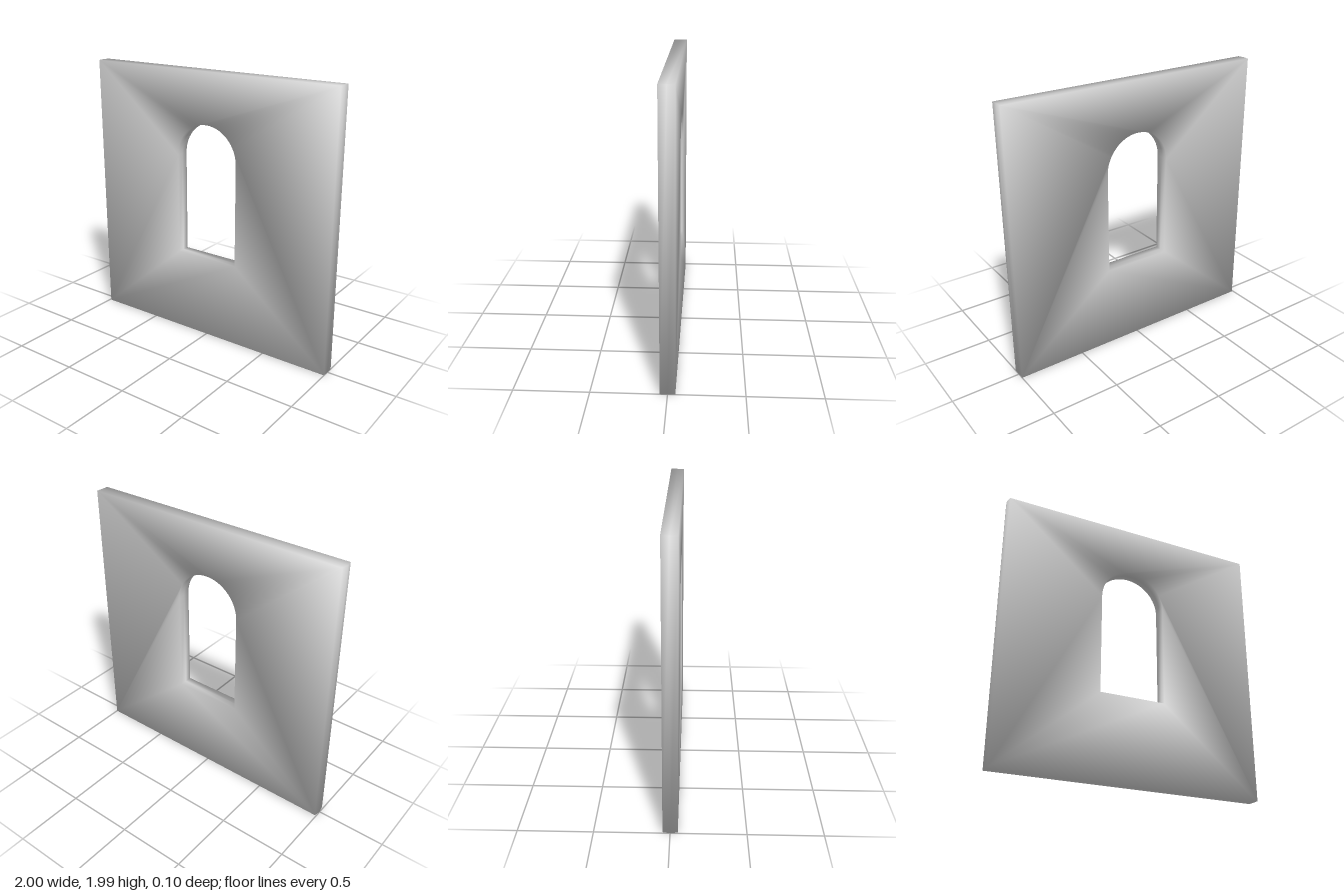
import * as THREE from 'three';
import { mergeVertices } from 'three/addons/utils/BufferGeometryUtils.js';

const W = 1, H = 1.99, D = 0.1;            // half width, height, depth
const HOLE = 0.25, SILL = 0.62, SPRING = 1.37;

// Weld all corners and blend normals by face angle for soft shading
function smoothAll(source) {
  source.deleteAttribute('normal');
  source.deleteAttribute('uv');
  const geo = mergeVertices(source, 1e-4);
  geo.clearGroups();
  const pos = geo.attributes.position, index = geo.index;
  const normals = Array.from({ length: pos.count }, () => new THREE.Vector3());
  for (let i = 0; i < index.count; i += 3) {
    const ids = [0, 1, 2].map(k => index.getX(i + k));
    const p = ids.map(id => new THREE.Vector3().fromBufferAttribute(pos, id));
    const n = new THREE.Triangle(...p).getNormal(new THREE.Vector3());
    ids.forEach((id, k) => {
      const a = p[(k + 1) % 3].clone().sub(p[k]);
      const b = p[(k + 2) % 3].clone().sub(p[k]);
      normals[id].addScaledVector(n, a.angleTo(b));
    });
  }
  const flat = normals.flatMap(n => n.normalize().toArray());
  geo.setAttribute('normal', new THREE.Float32BufferAttribute(flat, 3));
  return geo;
}

export function createModel() {
  const group = new THREE.Group();
  group.name = 'archedWindowWall';

  // Wall outline
  const outline = new THREE.Shape();
  outline.moveTo(-W, 0);
  outline.lineTo(W, 0);
  outline.lineTo(W, H);
  outline.lineTo(-W, H);
  outline.closePath();

  // Round-headed window opening
  const opening = new THREE.Path();
  opening.moveTo(-HOLE, SILL);
  opening.lineTo(HOLE, SILL);
  opening.lineTo(HOLE, SPRING);
  opening.absarc(0, SPRING, HOLE, 0, Math.PI, false);
  opening.closePath();
  outline.holes.push(opening);

  const slab = new THREE.ExtrudeGeometry(outline, {
    depth: D, steps: 2, bevelEnabled: false, curveSegments: 16,
  });
  slab.translate(0, 0, -D / 2);

  // Shallow ridge along the end at -x
  const pos = slab.attributes.position;
  for (let i = 0; i < pos.count; i++) {
    if (pos.getX(i) < -0.99 && Math.abs(pos.getZ(i)) > 0.04) pos.setX(i, -0.99);
  }

  const wall = new THREE.Mesh(
    smoothAll(slab),
    new THREE.MeshStandardMaterial({ color: 0xcccccc }),
  );
  wall.name = 'wall';
  group.add(wall);
  return group;
}
